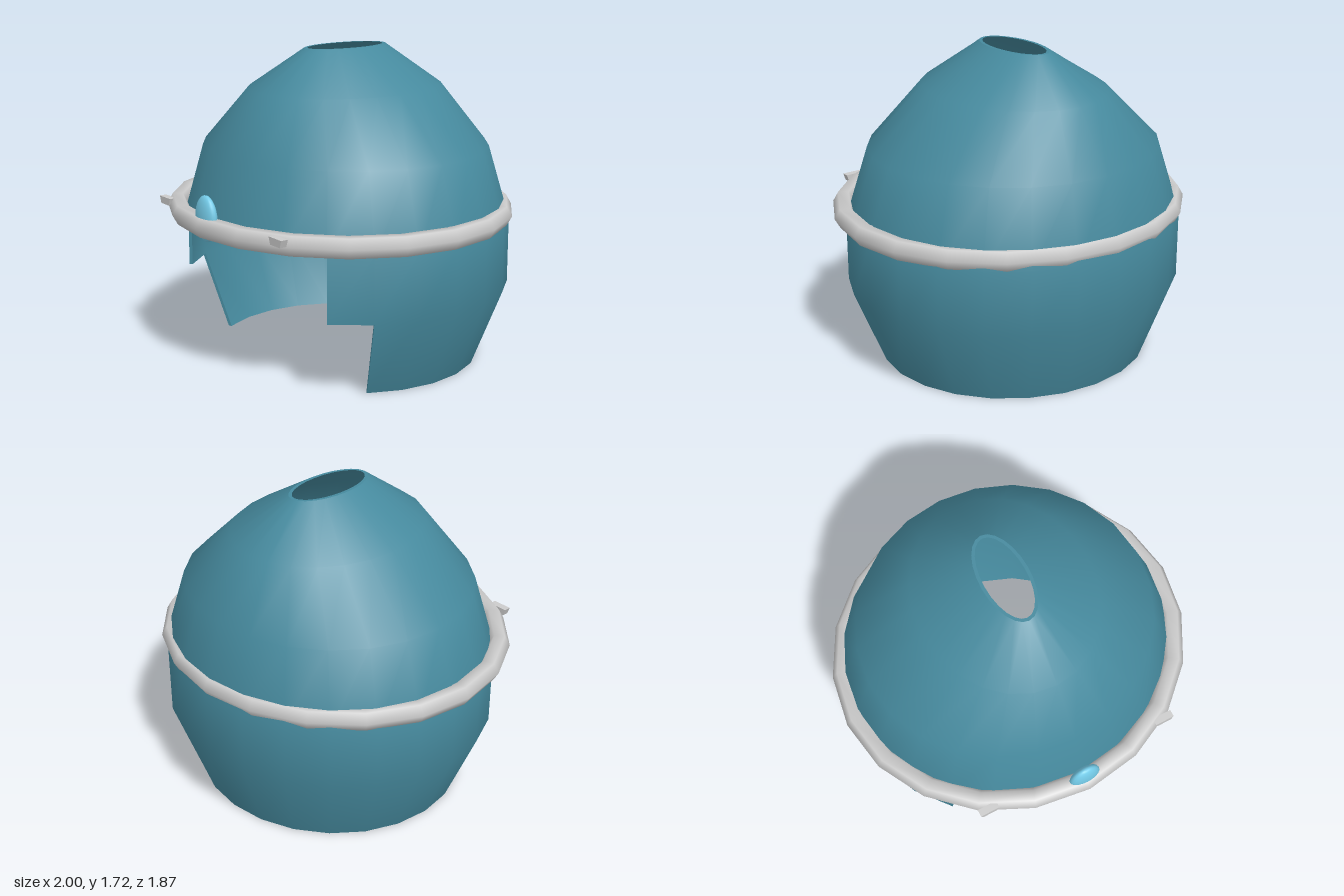
import * as THREE from 'three';

const SEG = 24, THICK = 0.018, SHELL_Z = -0.045;
// Elliptical cross-sections of the shell: height, half width, half depth, open half angle above it in segments
const RINGS = [
  [0, 0.77, 0.73, 4],
  [0.43, 0.945, 0.88, 3],
  [0.79, 0.945, 0.88, 0],
  [1.19, 0.81, 0.775, 0],
  [1.505, 0.475, 0.56, 0],
  [1.72, 0.13, 0.26, 0],
];

function ringPoint(i, j, inner) {
  const [y, rx, rz] = RINGS[i];
  const a = (j / SEG) * Math.PI * 2; // zero faces the front, turning towards +x
  const t = inner ? THICK : 0;
  return [Math.sin(a) * (rx - t), y, Math.cos(a) * (rz - t) + SHELL_Z];
}

// A cell is open where the face cut-out passes through it
function isSolid(i, j) {
  if (i < 0 || i >= RINGS.length - 1) return false;
  const k = (j + SEG) % SEG;
  const open = RINGS[i][3];
  return k >= open && k < SEG - open;
}

function toGeometry(pos, idx) {
  const g = new THREE.BufferGeometry();
  g.setAttribute('position', new THREE.Float32BufferAttribute(pos, 3));
  g.setIndex(idx);
  g.computeVertexNormals();
  return g;
}

// One smooth skin of the shell
function skin(inner) {
  const pos = [], idx = [];
  for (let i = 0; i < RINGS.length; i++)
    for (let j = 0; j < SEG; j++) pos.push(...ringPoint(i, j, inner));
  for (let i = 0; i < RINGS.length - 1; i++)
    for (let j = 0; j < SEG; j++) {
      if (!isSolid(i, j)) continue;
      const k = (j + 1) % SEG;
      const a = i * SEG + j, b = i * SEG + k, c = b + SEG, d = a + SEG;
      if (inner) idx.push(a, c, b, a, d, c);
      else idx.push(a, b, c, a, c, d);
    }
  return toGeometry(pos, idx);
}

// Narrow walls joining the two skins along every open edge
function rim() {
  const pos = [], idx = [];
  const wall = (i0, j0, i1, j1) => {
    const n = pos.length / 3;
    pos.push(...ringPoint(i0, j0, false), ...ringPoint(i1, j1, false),
      ...ringPoint(i1, j1, true), ...ringPoint(i0, j0, true));
    idx.push(n, n + 2, n + 1, n, n + 3, n + 2);
  };
  for (let i = 0; i < RINGS.length - 1; i++)
    for (let j = 0; j < SEG; j++) {
      if (!isSolid(i, j)) continue;
      if (!isSolid(i - 1, j)) wall(i, j, i, j + 1);
      if (!isSolid(i + 1, j)) wall(i + 1, j + 1, i + 1, j);
      if (!isSolid(i, j - 1)) wall(i + 1, j, i, j);
      if (!isSolid(i, j + 1)) wall(i, j + 1, i + 1, j + 1);
    }
  return toGeometry(pos, idx);
}

export function createModel() {
  const model = new THREE.Group();
  model.name = 'helmet';
  const teal = new THREE.MeshStandardMaterial({ color: 0x468a9e });
  const grey = new THREE.MeshStandardMaterial({ color: 0xcccccc });
  const blue = new THREE.MeshStandardMaterial({ color: 0x74cbe8 });
  const add = (parent, name, geometry, material) => {
    const mesh = new THREE.Mesh(geometry, material);
    mesh.name = name;
    parent.add(mesh);
    return mesh;
  };

  // Open-faced shell with an oval hole at the crown
  const shell = new THREE.Group();
  shell.name = 'shell';
  model.add(shell);
  add(shell, 'outerShell', skin(false), teal);
  add(shell, 'innerShell', skin(true), teal);
  add(shell, 'shellRim', rim(), teal);

  // Brow band
  const band = new THREE.TorusGeometry(0.94, 0.06, 6, 20);
  band.rotateX(Math.PI / 2);
  band.scale(1, 1, 0.935);
  add(model, 'band', band, grey).position.set(0, 0.842, -0.003);

  // Gem on the front of the band
  const gem = new THREE.SphereGeometry(1, 20, 14);
  gem.scale(0.09, 0.125, 0.04);
  add(model, 'gem', gem, blue).position.set(0, 0.885, 0.862);

  // Small lugs either side of the gem, tapered underneath
  for (const side of [1, -1]) {
    const lug = new THREE.BoxGeometry(0.11, 0.04, 0.04);
    const p = lug.attributes.position;
    for (let i = 0; i < p.count; i++) if (p.getY(i) < 0) p.setX(i, p.getX(i) * 0.75);
    lug.computeVertexNormals();
    add(model, side > 0 ? 'leftLug' : 'rightLug', lug, grey).position.set(side * 0.538, 0.866, 0.78);
  }
  return model;
}
